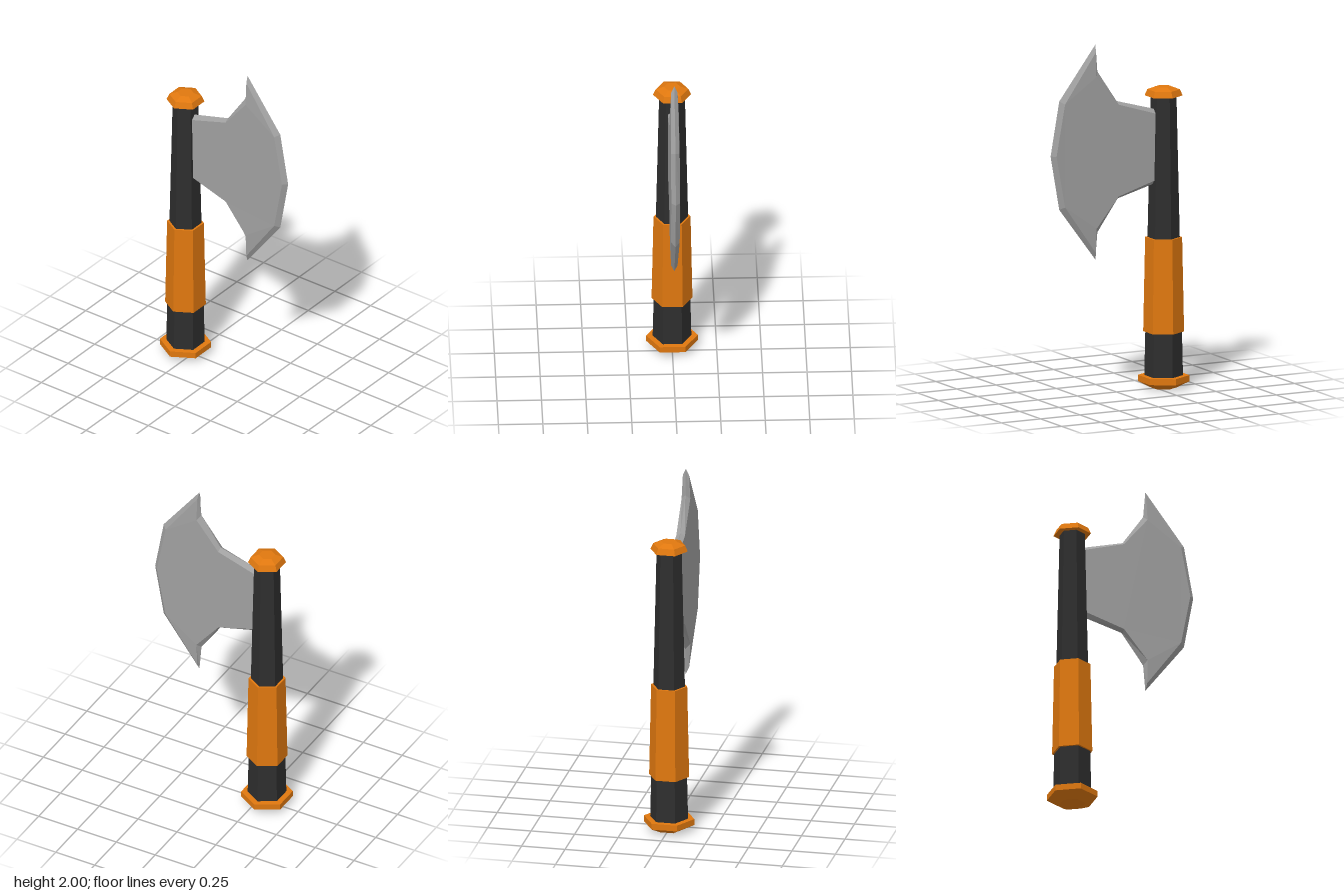
import * as THREE from 'three';

const mat = (name, color) => Object.assign(new THREE.MeshStandardMaterial({ color }), { name });

// Gives every face its own flat normal
function faceted(geometry) {
  const g = geometry.index ? geometry.toNonIndexed() : geometry;
  g.computeVertexNormals();
  return g;
}

// Six-sided turned part from [radius, y] points, bottom to top
function hexPart(name, points, material) {
  const profile = points.map(([r, y]) => new THREE.Vector2(r, y));
  const mesh = new THREE.Mesh(faceted(new THREE.LatheGeometry(profile, 6)), material);
  mesh.name = name;
  mesh.position.x = -0.3;
  return mesh;
}

// Blade: a sharp rim at z = 0 bevelled up to two flat cheeks
function bladeGeometry() {
  const mid = 1.385;
  // Upper half, root to edge: rim x, rim height, cheek x, cheek height, cheek z
  const upper = [
    [-0.26, 0.208, -0.26, 0.183, 0.025],
    [0, 0.28, 0, 0.263, 0.025],
    [0.122, 0.46, 0.14, 0.435, 0.025],
    [0.135, 0.615, 0.14, 0.575, 0.018],
    [0.365, 0.31, 0.34, 0.295, 0.024],
  ];
  const lower = upper.map(([a, b, c, d, z]) => [a, -b, c, -d, z]).reverse();
  const loop = [...upper, [0.42, 0, 0.395, 0, 0.025], ...lower].reverse(); // counter-clockwise
  const n = loop.length;
  const rim = loop.map((p) => [p[0], mid + p[1], 0]);
  const cheek = (s) => loop.map((p) => [p[2], mid + p[3], s * p[4]]);
  const front = cheek(1), back = cheek(-1);
  const pos = [];
  const tri = (...corners) => corners.forEach((c) => pos.push(...c));

  // Cheeks
  const outline = front.map((p) => new THREE.Vector2(p[0], p[1]));
  for (const [a, b, c] of THREE.ShapeUtils.triangulateShape(outline, [])) {
    tri(front[a], front[b], front[c]);
    tri(back[a], back[c], back[b]);
  }
  // Bevels
  for (let i = 0; i < n; i++) {
    const j = (i + 1) % n;
    tri(rim[i], rim[j], front[j]);
    tri(rim[i], front[j], front[i]);
    tri(rim[j], rim[i], back[i]);
    tri(rim[j], back[i], back[j]);
  }
  const g = new THREE.BufferGeometry();
  g.setAttribute('position', new THREE.Float32BufferAttribute(pos, 3));
  return faceted(g);
}

export function createModel() {
  const orange = mat('orange', 0xe0780f);
  const black = mat('black', 0x2e2e2e);
  const steel = mat('steel', 0xa0a0a0);

  const axe = new THREE.Group();
  axe.name = 'axe';

  axe.add(
    hexPart('handle', [[0.109, 0.06], [0.072, 1.68]], black),
    hexPart('pommel', [[0, 0], [0.075, 0], [0.145, 0.035], [0.145, 0.07], [0, 0.07]], orange),
    hexPart('grip', [[0.1, 0.32], [0.115, 0.32], [0.104, 0.86], [0.085, 0.86]], orange),
    hexPart('topCap', [[0, 1.67], [0.107, 1.67], [0.092, 1.705], [0.046, 1.722], [0, 1.722]], orange),
  );

  const blade = new THREE.Mesh(bladeGeometry(), steel);
  blade.name = 'blade';
  axe.add(blade);
  return axe;
}
